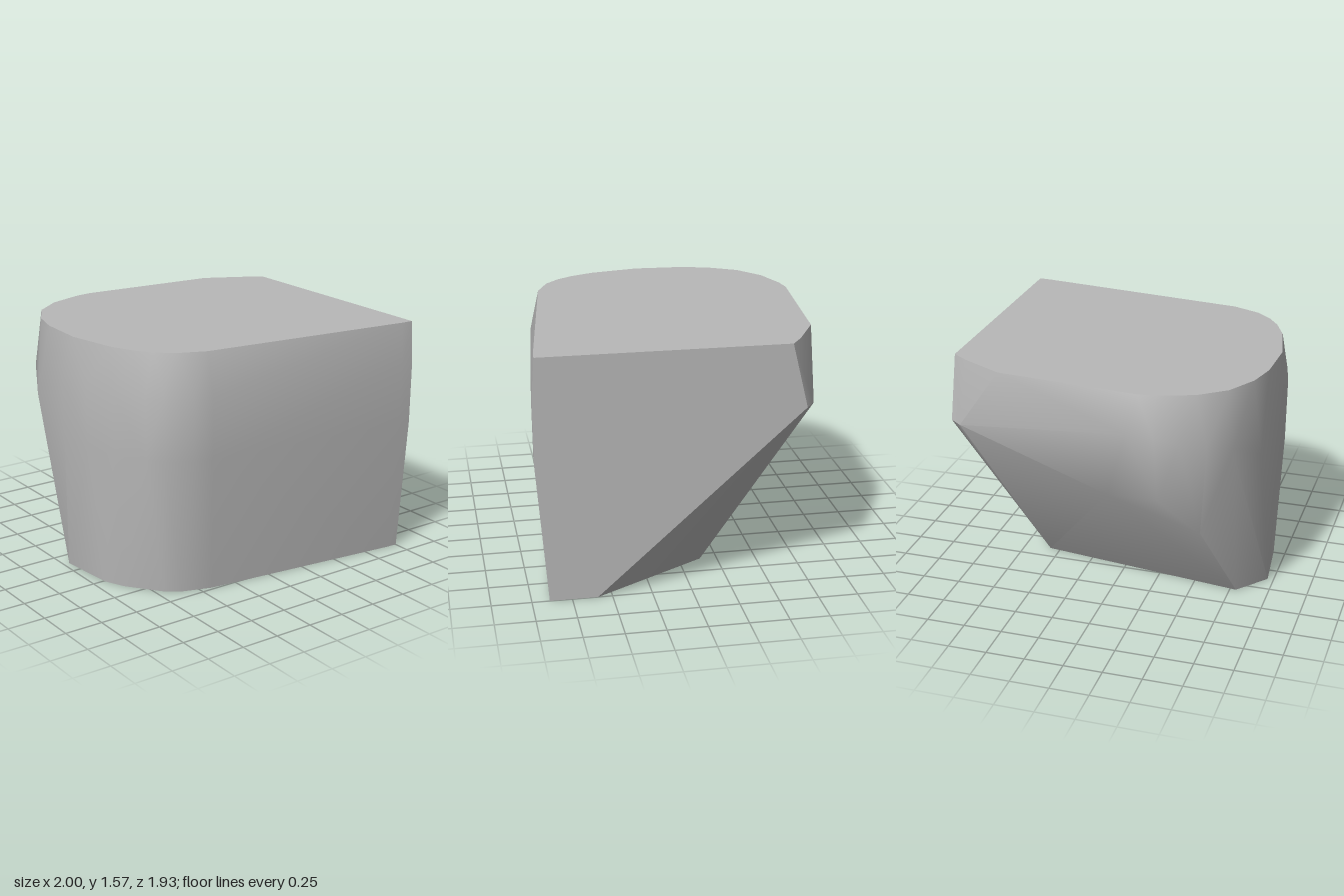
import * as THREE from 'three';
import { ConvexGeometry } from 'three/addons/geometries/ConvexGeometry.js';
import { toCreasedNormals } from 'three/addons/utils/BufferGeometryUtils.js';

// Horizontal outlines as [x, z] pairs, from the flat side round the back and left to the front
const topY = 1.57;
const topOutline = [
  [1, -0.61], [0.9, -0.68], [0.63, -0.82], [-0.28, -0.9], [-0.4, -0.885], [-0.62, -0.81],
  [-0.79, -0.68], [-0.9, -0.49], [-0.95, -0.3], [-0.965, 0.02], [-0.9, 0.34], [-0.83, 0.5],
  [-0.76, 0.6], [-0.66, 0.69], [-0.48, 0.765], [0.92, 0.94], [1, 0.945],
];
const bottomOutline = [
  [1, 0.59], [0.57, -0.14], [-0.79, -0.32], [-0.96, -0.12], [-0.92, 0.26], [-0.86, 0.39],
  [-0.7, 0.6], [-0.6, 0.67], [-0.42, 0.73], [0.92, 0.885], [1, 0.89],
];

// Widest part of the rounded left and front wall
const bulge = [
  [-1, -0.07], [-0.98, 0.18], [-0.93, 0.41], [-0.82, 0.6], [-0.75, 0.69], [-0.6, 0.79],
  [-0.48, 0.825], [0.92, 0.96], [1, 0.965],
];

// Shoulder and sloping underside of the back, as [x, y, z]
const back = [
  [1, 1.16, -0.71], [0.92, 1.16, -0.77], [-0.23, 1.33, -0.965], [-0.4, 1.32, -0.955],
  [-0.55, 1.28, -0.92], [-0.7, 1.25, -0.84], [-0.83, 1.2, -0.71], [-0.955, 1.08, -0.47],
  [-0.08, 0.86, -0.86], [-0.4, 0.86, -0.855], [-0.63, 0.58, -0.68],
];

const level = (outline, y, inset = 0) =>
  outline.map(([x, z]) => new THREE.Vector3(x < 0.99 ? x * (1 - inset) : x, y, z * (1 - inset)));

export function createModel() {
  const grey = new THREE.MeshStandardMaterial({ color: 0xb8b8b8 });
  grey.name = 'stone grey';

  const points = [
    ...level(topOutline, topY),
    ...level(bulge, 1.3),
    ...level(bulge, 0.9, 0.004),
    ...level(bottomOutline, 0),
    ...back.map((p) => new THREE.Vector3(...p)),
  ];

  // Smooth walls with sharp edges round the flat faces
  const block = new THREE.Mesh(toCreasedNormals(new ConvexGeometry(points), 0.7), grey);
  block.name = 'block';

  const group = new THREE.Group();
  group.name = 'roundedBlock';
  group.add(block);
  return group;
}
